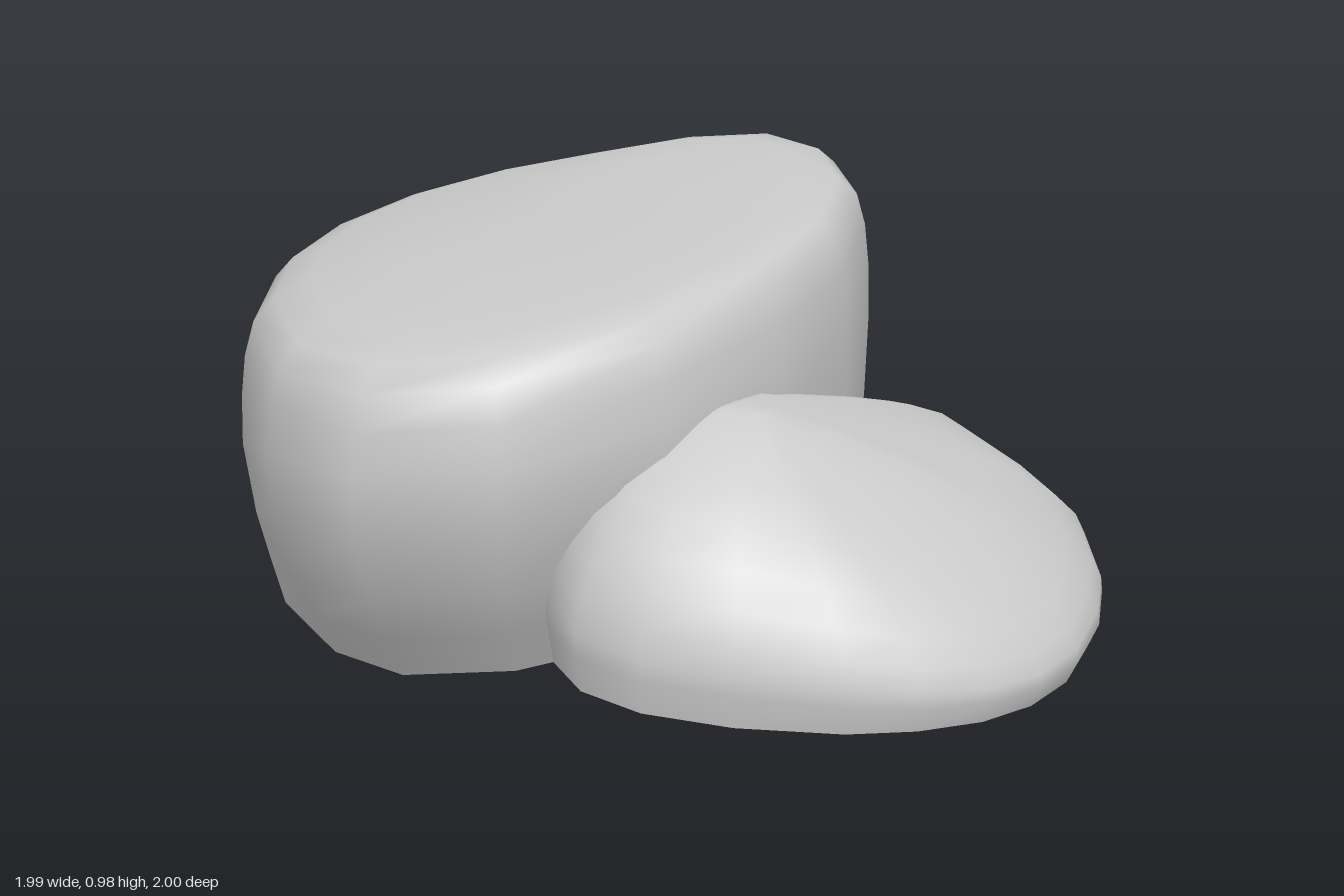
import * as THREE from 'three';

// Open-bottomed shell: an outline (x, z, clockwise from above) is stacked in rings
// that shrink toward a centre; each ring is [scale, height fraction, taper].
function rockShell(outline, [cx, cz], rings, rimY, topY, taper) {
  const positions = [];
  const index = [];
  const n = outline.length;
  const addPoint = (x, z, p) => {
    const low = rimY(x, z);
    positions.push(x, low + (topY(x, z) - low) * p, z);
  };
  for (const [s, p, k] of rings) {
    for (const [ox, oz] of outline) {
      const [tx, tz] = taper(ox - cx, oz - cz);
      addPoint(
        cx + (ox - cx) * s * (1 - k * (1 - tx)),
        cz + (oz - cz) * s * (1 - k * (1 - tz)),
        p
      );
    }
  }
  addPoint(cx, cz, 1);
  const apex = rings.length * n;
  for (let i = 0; i < rings.length; i++) {
    for (let j = 0; j < n; j++) {
      const a = i * n + j;
      const b = i * n + (j + 1) % n;
      if (i === rings.length - 1) index.push(a, apex, b);
      else index.push(a, a + n, b, b, a + n, b + n);
    }
  }
  const geometry = new THREE.BufferGeometry();
  geometry.setAttribute('position', new THREE.Float32BufferAttribute(positions, 3));
  geometry.setIndex(index);
  geometry.computeVertexNormals();
  return geometry;
}

export function createModel() {
  const group = new THREE.Group();
  group.name = 'rocks';
  const stone = new THREE.MeshStandardMaterial({ color: 0xcacaca, side: THREE.DoubleSide });
  stone.name = 'light grey stone';

  // Tall rock: flat tilted top that dips at the back corner, base tapering in at the front
  const largeOutline = [
    [-0.43, -1], [-0.14, -0.93], [0.13, -0.87], [0.35, -0.81], [0.48, -0.6], [0.51, -0.3],
    [0.42, 0.06], [0.24, 0.37], [-0.03, 0.64], [-0.39, 0.78], [-0.7, 0.73], [-0.9, 0.51],
    [-1, 0.08], [-0.99, -0.4], [-0.88, -0.73], [-0.68, -0.94],
  ];
  const largeRings = [
    [1, 0, 1], [1, 0.15, 0.65], [1, 0.32, 0.28], [1, 0.55, 0], [0.995, 0.7, 0], [0.98, 0.82, 0],
    [0.95, 0.915, 0], [0.89, 0.97, 0], [0.78, 0.995, 0], [0.55, 1, 0], [0.25, 1, 0],
  ];
  const largeRock = new THREE.Mesh(rockShell(
    largeOutline, [-0.24, -0.11], largeRings,
    (x) => 0.085 + 0.09 * x,
    (x, z) => 0.93 + 0.115 * x - 0.03 * z - 0.11 * Math.max(0, -x - z - 0.7),
    (dx, dz) => [
      dx > 0 ? 0.97 : dz > 0.4 ? 0.82 : 0.9,
      dz > 0 ? 0.74 : dx > 0 ? 0.98 : 0.9,
    ]
  ), stone);
  largeRock.name = 'largeRock';

  // Low domed rock leaning into the tall one
  const smallOutline = [
    [0.63, -0.28], [0.73, -0.26], [0.8, -0.21], [0.92, 0.01], [0.99, 0.15], [0.99, 0.37],
    [0.95, 0.55], [0.87, 0.73], [0.77, 0.85], [0.65, 0.93], [0.5, 0.98], [0.34, 1],
    [0.1, 0.98], [-0.1, 0.92], [-0.23, 0.82], [-0.29, 0.68], [-0.3, 0.4], [-0.3, 0.15],
    [-0.28, -0.02], [-0.2, -0.15], [-0.05, -0.24], [0.32, -0.27],
  ];
  const smallRings = [
    [0.97, 0, 0], [1, 0.2, 0], [0.995, 0.32, 0], [0.965, 0.47, 0], [0.9, 0.62, 0],
    [0.8, 0.76, 0], [0.66, 0.87, 0], [0.48, 0.945, 0], [0.25, 0.99, 0], [0.1, 1, 0],
  ];
  const smallRock = new THREE.Mesh(rockShell(
    smallOutline, [0.14, 0.49], smallRings,
    (x, z) => 0.14 - 0.04 * x - 0.03 * z,
    (x, z) => {
      const side = Math.max(0, x - 0.18);
      const back = Math.max(0, 0.42 - z);
      const front = Math.max(0, z - 0.52);
      return 0.662 - 0.36 * (side ** 6 + back ** 6) ** (1 / 6)
        + 0.26 * side * back - 0.36 * front;
    },
    () => [1, 1]
  ), stone);
  smallRock.name = 'smallRock';

  group.add(largeRock, smallRock);
  return group;
}
